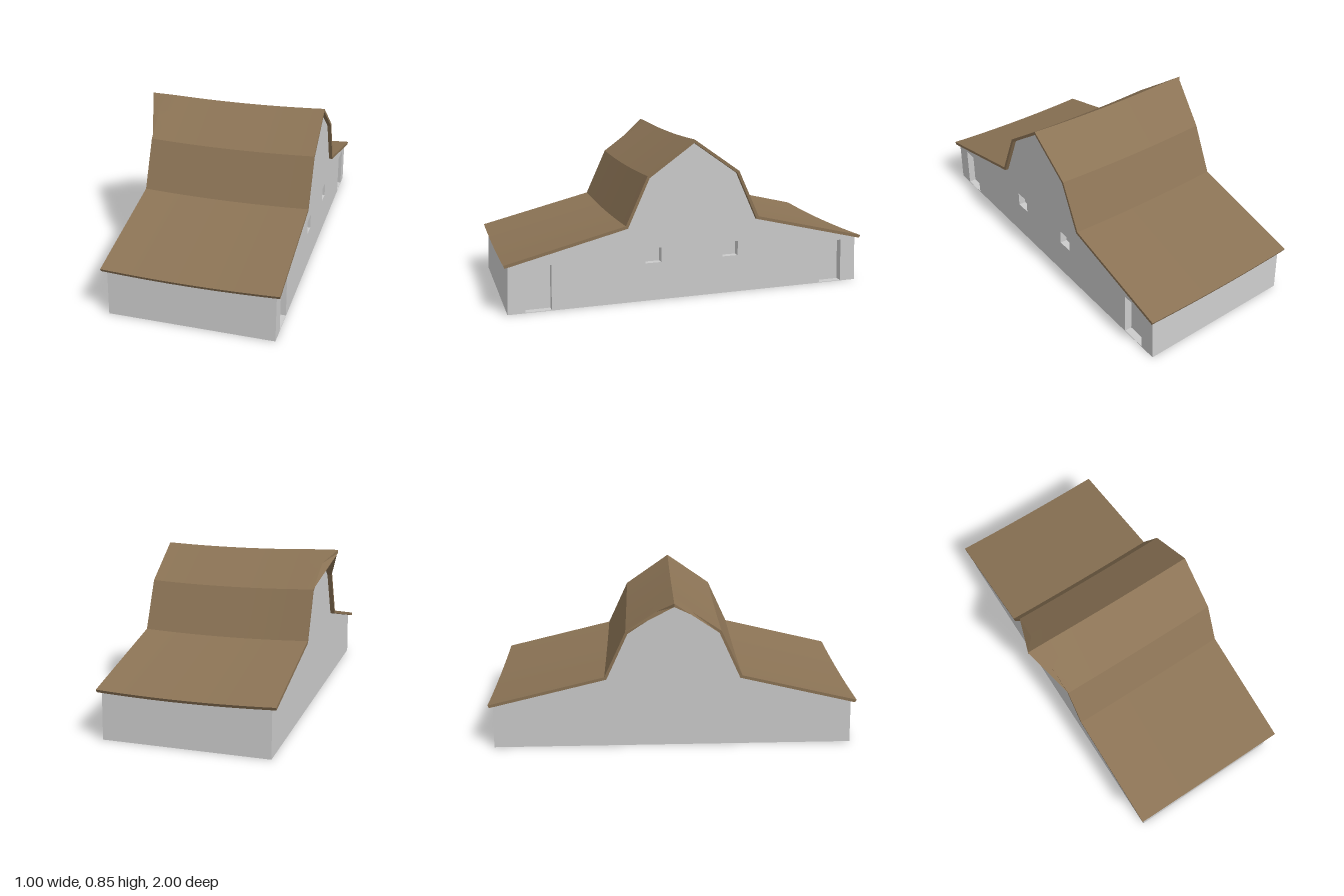
import * as THREE from 'three';
import { toCreasedNormals } from 'three/addons/utils/BufferGeometryUtils.js';

const MID = 0.0375, HALF = 0.4575;

// Dip of the roof line towards the middle of the building
const sag = (x) => 0.012 * Math.max(0, 1 - ((x - MID) / HALF) ** 2);

const mirrored = (half) => [
  ...half,
  ...half.filter(([z]) => z > 0).reverse().map(([z, y]) => [-z, y]),
];
const toVectors = (pts) => pts.map(([a, b]) => new THREE.Vector2(a, b));

// Extrude a z/y profile along x, then move every vertex by a rule
function extrudeAlongX(shape, x0, x1, steps, bend) {
  const geo = new THREE.ExtrudeGeometry(shape, { depth: x1 - x0, steps, bevelEnabled: false });
  geo.rotateY(Math.PI / 2).translate(x0, 0, 0);
  const p = geo.attributes.position;
  const v = new THREE.Vector3();
  for (let i = 0; i < p.count; i++) {
    v.fromBufferAttribute(p, i);
    bend(v);
    p.setXYZ(i, v.x, v.y, v.z);
  }
  return toCreasedNormals(geo, 0.2);
}

export function createModel() {
  const group = new THREE.Group();
  group.name = 'barn';
  const wallMaterial = new THREE.MeshStandardMaterial({ color: 0xcccccc });
  const roofMaterial = new THREE.MeshStandardMaterial({ color: 0x8b7355 });
  const add = (name, geometry, material) => {
    const mesh = new THREE.Mesh(geometry, material);
    mesh.name = name;
    group.add(mesh);
  };

  // Gable outline, from the foot of one wall over the ridge to the other
  const gable = mirrored([[0.985, 0], [0.974, 0.256], [0.361, 0.408], [0.244, 0.664], [0, 0.836]]);
  const bendWall = (v) => { v.y -= sag(v.x) * Math.min(1, v.y / 0.25); };

  // Main body, closed at the back of the door and window recesses
  add('body', extrudeAlongX(new THREE.Shape(toVectors(gable)), -0.395, 0.435, 14, bendWall), wallMaterial);

  // Gable wall pierced by two doors and two windows
  const wall = new THREE.Shape(toVectors(gable));
  const door = [[0.76, 0.003], [0.895, 0.003], [0.886, 0.242], [0.756, 0.242]];
  const windowOpening = [[0.173, 0.206], [0.26, 0.206], [0.26, 0.286], [0.173, 0.286]];
  for (const opening of [door, windowOpening]) {
    for (const side of [1, -1]) {
      wall.holes.push(new THREE.Path(toVectors(opening.map(([z, y]) => [z * side, y]))));
    }
  }
  add('gableWall', extrudeAlongX(wall, 0.435, 0.475, 1, bendWall), wallMaterial);

  // Roof shell: the top surface out, the underside back, with a lip at the eaves
  const flare = [[0, 0.08], [0.09, 0.012], [0.105, 0.004], [0.125, 0]];
  const slope = (0.85 - 0.672) / 0.253;
  const under = (0.832 - 0.661) / 0.242;
  const top = mirrored([
    [0.999, 0.264], [0.37, 0.418], [0.253, 0.672],
    ...flare.slice().reverse().map(([z]) => [z, 0.85 - slope * z]),
  ]);
  const bottom = mirrored([
    [0.992, 0.249], [0.978, 0.252], [0.359, 0.404], [0.242, 0.661],
    ...flare.slice().reverse().map(([z]) => [z, 0.832 - under * z]),
  ]).reverse();

  // Pull the ridge out into a pointed hood over the plain gable
  const hood = (z) => {
    for (let i = 1; i < flare.length; i++) {
      const [z0, d0] = flare[i - 1], [z1, d1] = flare[i];
      if (z <= z1) return d0 + (d1 - d0) * (z - z0) / (z1 - z0);
    }
    return 0;
  };
  const roof = extrudeAlongX(new THREE.Shape(toVectors([...top, ...bottom])), -0.42, 0.495, 16, (v) => {
    v.y -= sag(v.x);
    if (v.x < -0.419) v.x -= hood(Math.abs(v.z));
  });
  add('roof', roof, roofMaterial);

  return group;
}
